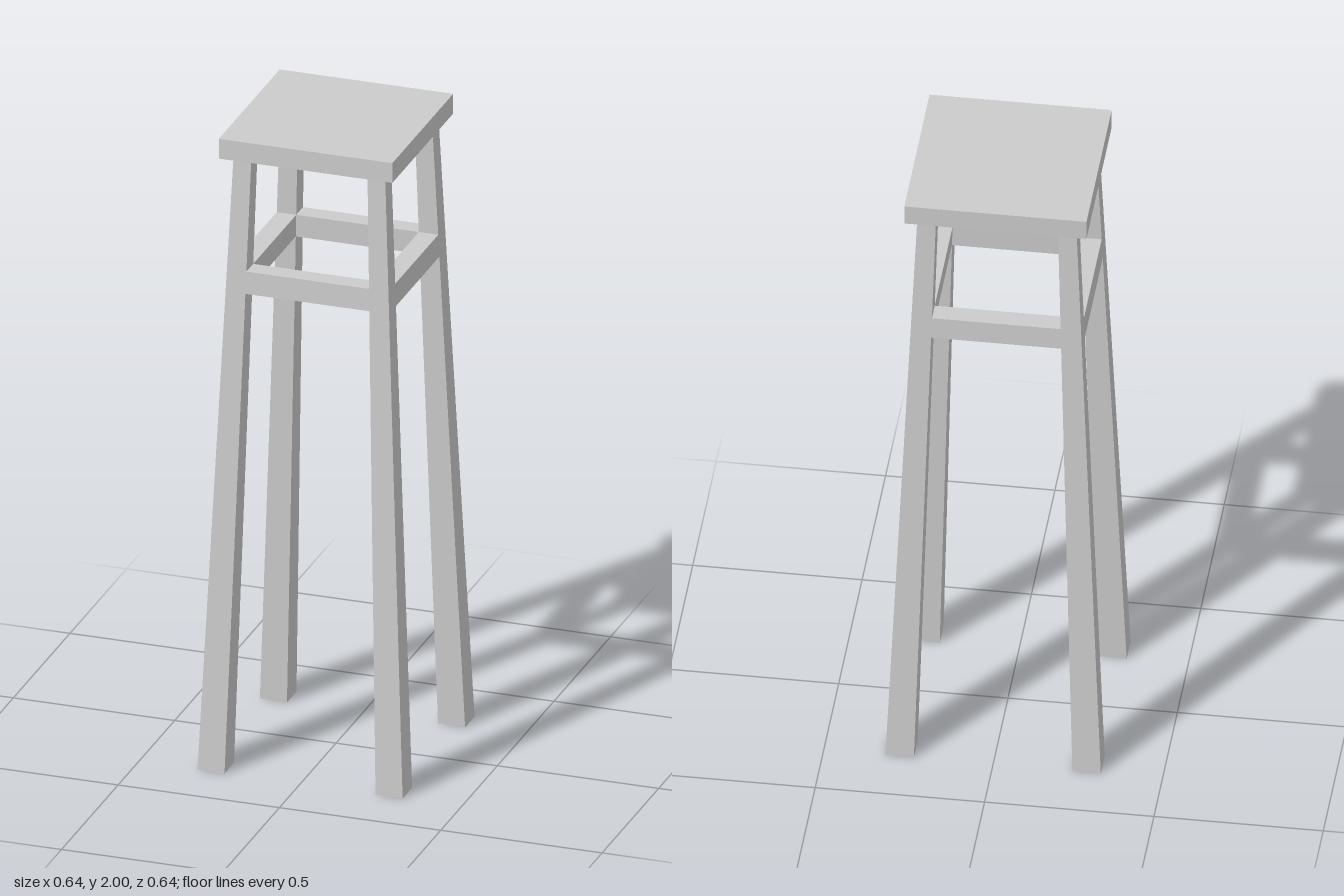
import * as THREE from 'three';

const material = new THREE.MeshStandardMaterial({ color: 0xcccccc, flatShading: true });
const SEAT_BOTTOM = 1.937;

// Outer and inner faces of the splayed, tapering legs at height y
const outer = (y) => THREE.MathUtils.lerp(0.318, 0.235, y / SEAT_BOTTOM);
const inner = (y) => THREE.MathUtils.lerp(0.234, 0.18, y / SEAT_BOTTOM);

// Box whose x and z extents are given separately at each height
function taperedBox(y0, y1, xRange, zRange) {
  const geometry = new THREE.BoxGeometry(1, 1, 1);
  const p = geometry.attributes.position;
  for (let i = 0; i < p.count; i++) {
    const y = p.getY(i) < 0 ? y0 : y1;
    const x = xRange(y)[p.getX(i) < 0 ? 0 : 1];
    const z = zRange(y)[p.getZ(i) < 0 ? 0 : 1];
    p.setXYZ(i, x, y, z);
  }
  geometry.computeVertexNormals();
  return geometry;
}

export function createModel() {
  const stool = new THREE.Group();
  stool.name = 'stool';

  const add = (name, geometry, turn = 0) => {
    const mesh = new THREE.Mesh(geometry, material);
    mesh.name = name;
    mesh.rotation.y = turn;
    stool.add(mesh);
  };

  // Square seat slab
  const seat = new THREE.BoxGeometry(0.538, 2 - SEAT_BOTTOM, 0.538);
  seat.translate(0, (2 + SEAT_BOTTOM) / 2, 0);
  add('seat', seat);

  // One leg and one stretcher, repeated around the four sides
  const section = (y) => [inner(y), outer(y)];
  const span = (y) => [-inner(y), inner(y)];
  const leg = taperedBox(0, SEAT_BOTTOM, section, section);
  const stretcher = taperedBox(1.51, 1.58, span, section);
  const legNames = ['frontLeftLeg', 'backLeftLeg', 'backRightLeg', 'frontRightLeg'];
  const railNames = ['frontStretcher', 'leftStretcher', 'backStretcher', 'rightStretcher'];
  for (let i = 0; i < 4; i++) {
    add(legNames[i], leg, (i * Math.PI) / 2);
    add(railNames[i], stretcher, (i * Math.PI) / 2);
  }

  return stool;
}
